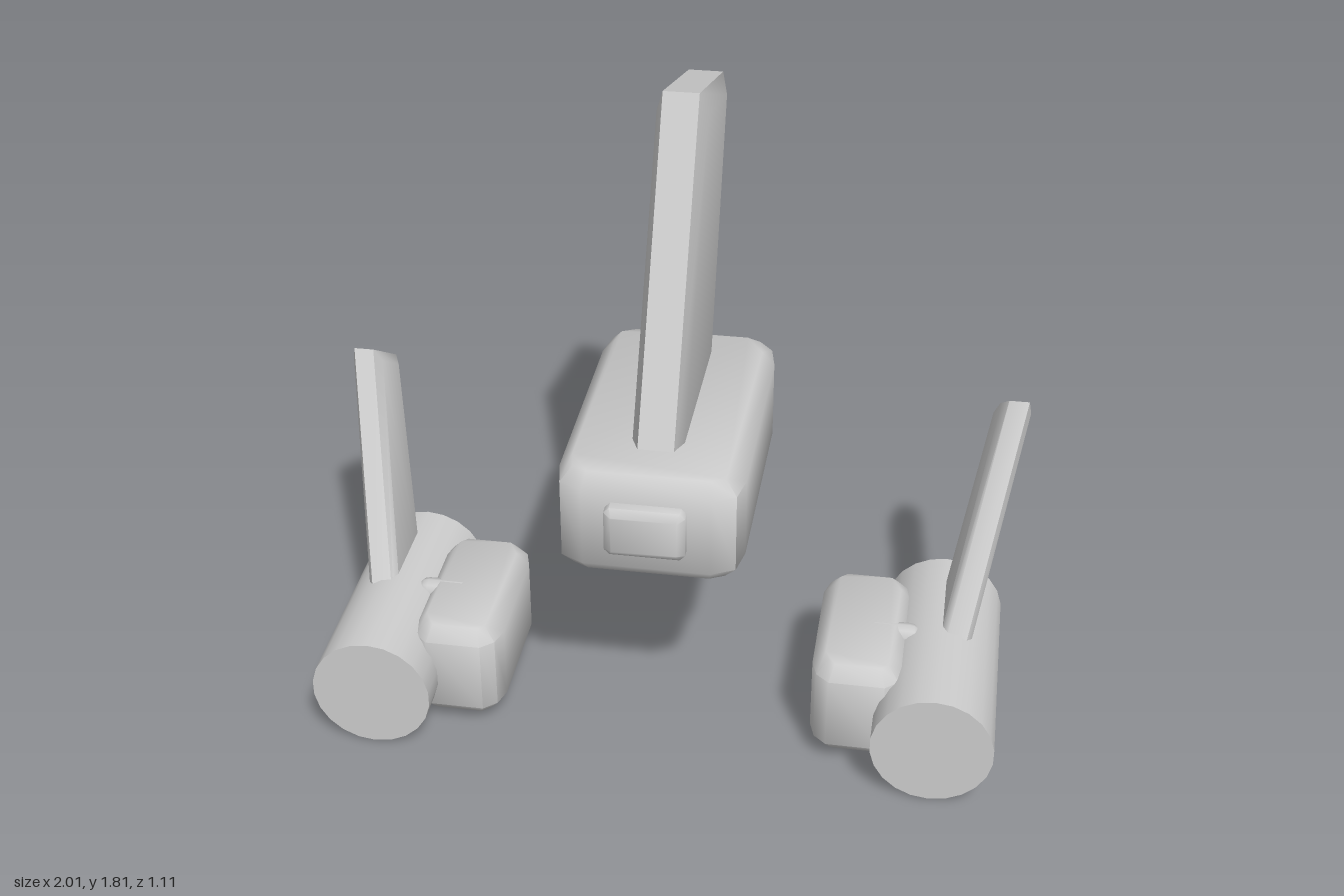
import * as THREE from 'three';
import { toCreasedNormals } from 'three/addons/utils/BufferGeometryUtils.js';

const grey = new THREE.MeshStandardMaterial({ color: 0xcccccc });
grey.name = 'plain grey';

// Bevelled slab from an outline; the outline is its outer size, centred on its thickness
function slab(points, thickness, bevelThickness, bevelSize) {
  const shape = new THREE.Shape(points.map(([u, v]) => new THREE.Vector2(u, v)));
  const depth = thickness - 2 * bevelThickness;
  const geometry = new THREE.ExtrudeGeometry(shape, {
    depth, bevelEnabled: true, bevelThickness, bevelSize, bevelOffset: -bevelSize, bevelSegments: 1,
  });
  return geometry.translate(0, 0, -depth / 2);
}

function part(name, geometry) {
  const mesh = new THREE.Mesh(toCreasedNormals(geometry, THREE.MathUtils.degToRad(50)), grey);
  mesh.name = name;
  return mesh;
}

// Block with soft top and bottom edges and slightly drawn-in upright corners
function block(name, [x0, x1], [y0, y1], [z0, z1], bevel = 0.04) {
  const w = (x1 - x0) / 2, d = (z1 - z0) / 2;
  const k = Math.min(0.08, w * 0.4), c = 0.016, e = 0.032;
  const outline = [
    [w, -d + k + e], [w, d - k - e], [w - c, d - e], [w - k, d],
    [-w + k, d], [-w + c, d - e], [-w, d - k - e], [-w, -d + k + e],
    [-w + c, -d + e], [-w + k, -d], [w - k, -d], [w - c, -d + e],
  ];
  const geometry = slab(outline, y1 - y0, bevel, bevel * 0.9).rotateX(Math.PI / 2);
  geometry.translate((x0 + x1) / 2, (y0 + y1) / 2, (z0 + z1) / 2);
  return part(name, geometry);
}

// Blade drawn as (z, y) points, leaning sideways by lean per unit of height
function blade(name, points, thickness, bevelThickness, bevelSize, x = 0, lean = 0, baseY = 0) {
  const geometry = slab(points, thickness, bevelThickness, bevelSize).rotateY(-Math.PI / 2);
  const p = geometry.attributes.position;
  for (let i = 0; i < p.count; i++) p.setX(i, p.getX(i) + x + lean * (p.getY(i) - baseY));
  return part(name, geometry);
}

function sidePod(side) {
  const pod = new THREE.Group();
  pod.name = side > 0 ? 'leftPod' : 'rightPod';

  const barrel = new THREE.CylinderGeometry(0.172, 0.172, 0.68, 22);
  barrel.rotateX(Math.PI / 2).translate(side * 0.8, 0.173, 0.195);
  pod.add(part('barrel', barrel));

  pod.add(block('innerBlock', side > 0 ? [0.447, 0.71] : [-0.71, -0.447], [0.035, 0.337], [-0.07, 0.435]));

  // Small pin joining the block and the barrel
  const pin = new THREE.CapsuleGeometry(0.035, 0.1, 4, 10);
  pin.rotateZ(Math.PI / 2).translate(side * 0.66, 0.303, 0.19);
  pod.add(part('pin', pin));

  pod.add(blade('podFin', [[0.31, 0.2], [0.015, 0.2], [-0.315, 0.8], [-0.165, 0.9]],
    0.09, 0.016, 0.03, side * 0.845, side * 0.215, 0.33));
  return pod;
}

export function createModel() {
  const model = new THREE.Group();
  model.name = 'model';

  // Central unit
  model.add(block('body', [-0.255, 0.255], [0.645, 0.96], [-0.342, 0.51]));
  model.add(block('lowerBlock', [-0.212, 0.212], [0.488, 0.7], [-0.19, 0.275]));

  // Front button, with clipped corners
  const a = 0.11, b = 0.074, c = 0.015;
  const button = slab([[a, -b + c], [a, b - c], [a - c, b], [-a + c, b],
    [-a, b - c], [-a, -b + c], [-a + c, -b], [a - c, -b]], 0.12, 0.018, 0.02);
  model.add(part('frontButton', button.translate(0, 0.816, 0.495)));

  // Tall swept fin
  model.add(blade('mainFin', [[0.43, 0.8], [-0.21, 0.8], [-0.553, 1.69], [-0.09, 1.815]], 0.144, 0.022, 0.06));

  // Mirrored side pods
  for (const side of [1, -1]) model.add(sidePod(side));
  return model;
}
